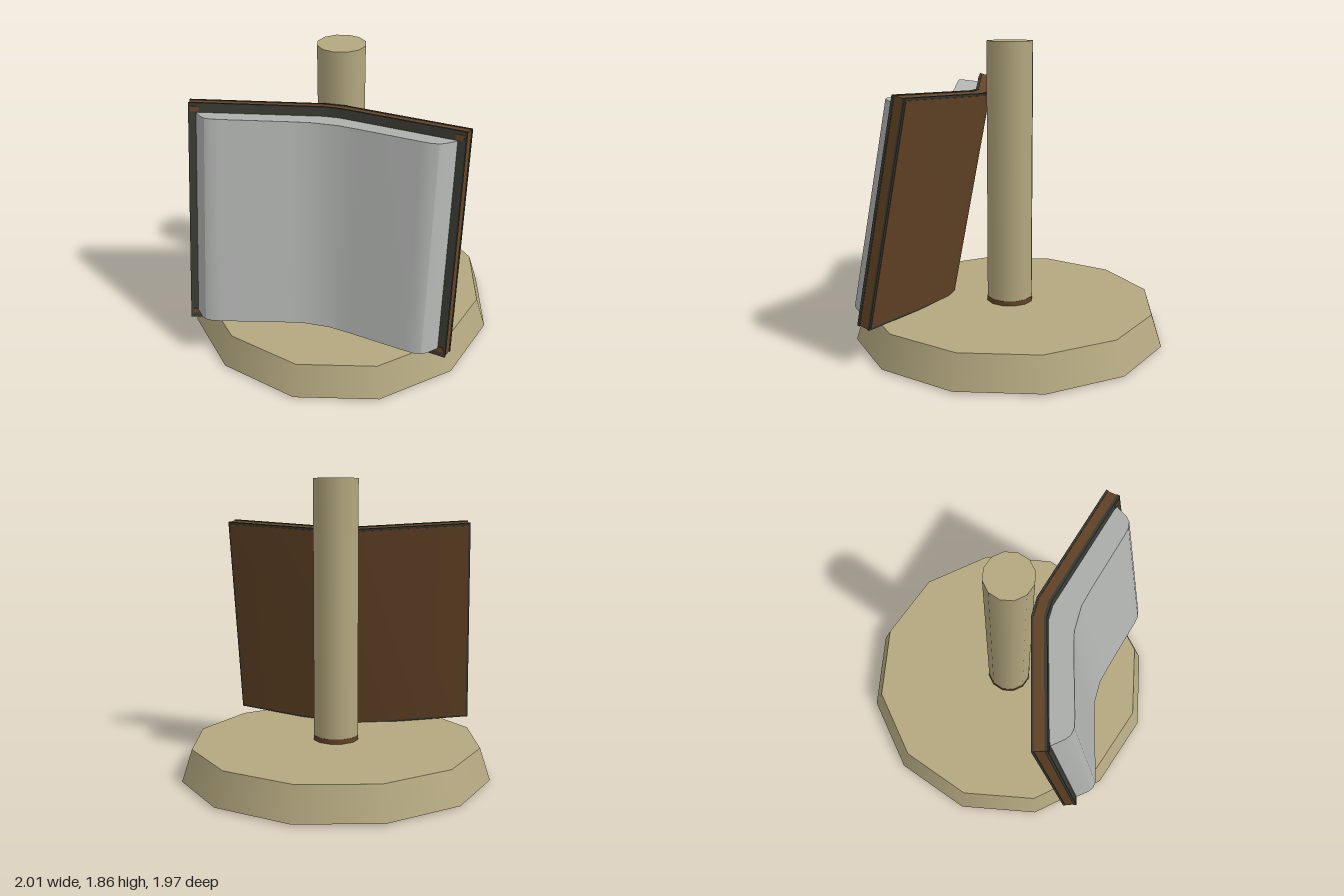
import * as THREE from 'three';
import { toCreasedNormals } from 'three/addons/utils/BufferGeometryUtils.js';

const mat = (name, color, side = THREE.FrontSide) =>
  Object.assign(new THREE.MeshStandardMaterial({ color, side }), { name });

function add(parent, name, geometry, material, x = 0, y = 0, z = 0) {
  const mesh = new THREE.Mesh(geometry, material);
  mesh.name = name;
  mesh.position.set(x, y, z);
  parent.add(mesh);
  return mesh;
}

// Upright prism from a mirrored plan outline; points run from the middle
// to the right end along the back (half) and along the front (front).
function prism(back, front, height) {
  const mirror = pts => pts.map(([x, z]) => [-x, z]).reverse();
  const outline = [...mirror(back), ...back, ...[...front].reverse(), ...mirror([...front].reverse()).reverse()];
  const ring = [...mirror(back), ...back, ...[...front].reverse(), ...front.map(([x, z]) => [-x, z])];
  const pts = (outline.length === ring.length ? ring : outline).map(([x, z]) => new THREE.Vector2(x, -z));
  const geo = new THREE.ExtrudeGeometry(new THREE.Shape(pts), { depth: height, bevelEnabled: false });
  geo.rotateX(-Math.PI / 2);
  return toCreasedNormals(geo, 0.45);
}

// Half outline of the folded cover at a distance t in front of its back face
const coverLine = (t, inset = 0) => [
  [0.06 - 0.14 * t, -0.215 + t],
  [0.815 - 0.274 * t - 0.96 * inset, 0.962 * t - 0.274 * inset],
];

export function createModel() {
  const model = new THREE.Group();
  model.name = 'bookOnStand';
  const tan = mat('tan', 0xb4a880, THREE.DoubleSide);
  const brown = mat('brown', 0x644426);
  const dark = mat('charcoal', 0x393a33);
  const paper = mat('grey', 0xb2b4b2);

  // Hollow base, open below
  const stand = new THREE.Group();
  stand.name = 'stand';
  stand.position.x = 0.01;
  model.add(stand);
  add(stand, 'baseWall', new THREE.CylinderGeometry(0.92, 0.985, 0.2, 12, 1, true), tan, 0, 0.11, 0);
  const top = new THREE.CircleGeometry(0.92, 12);
  top.rotateX(-Math.PI / 2);
  add(stand, 'baseTop', top, tan, 0, 0.21, 0);

  // Post and the stub it sits on
  add(stand, 'post', new THREE.CylinderGeometry(0.145, 0.145, 1.65, 12), tan, 0, 1.035, 0);
  add(stand, 'postStub', new THREE.CylinderGeometry(0.147, 0.147, 0.24, 12), brown, 0, 0.12, 0);

  // Open book, turned and leaning back against the post
  const book = new THREE.Group();
  book.name = 'openBook';
  book.position.set(-0.268, 0.235, 0.55);
  book.rotation.set(-0.19, -0.467, 0, 'YXZ');
  model.add(book);
  const H = 1.37;

  // Cover in layers: dark lining, brown core, dark edge, brown back panel
  const layers = [
    ['coverPanel', -0.003, 0.004, 0.014, brown],
    ['coverBackEdge', 0, 0.014, 0, dark],
    ['coverCore', 0.014, 0.072, 0.003, brown],
    ['coverLining', 0.072, 0.09, 0, dark],
  ];
  for (const [name, t0, t1, inset, material] of layers) {
    add(book, name, prism(coverLine(t0, inset), coverLine(t1, inset), H - 2 * inset), material, 0, inset, 0);
  }

  // Page block with rounded fore edges
  const pageBack = [[0.05, -0.13], [0.74, 0.068]];
  const pageFront = [[0.08, 0.035], [0.2, 0.064], [0.56, 0.165], [0.62, 0.178], [0.66, 0.172], [0.69, 0.15], [0.745, 0.08]];
  add(book, 'pages', prism(pageBack, pageFront, 1.265), paper, 0, 0.05, 0);

  // Brown corner pieces on the lining
  for (const side of [-1, 1]) {
    for (const y of [0.045, H - 0.035]) {
      const corner = add(book, 'coverCorner', new THREE.BoxGeometry(0.05, 0.03, 0.006), brown, side * 0.755, y, 0.078);
      corner.rotation.y = -side * 0.277;
    }
  }
  return model;
}
